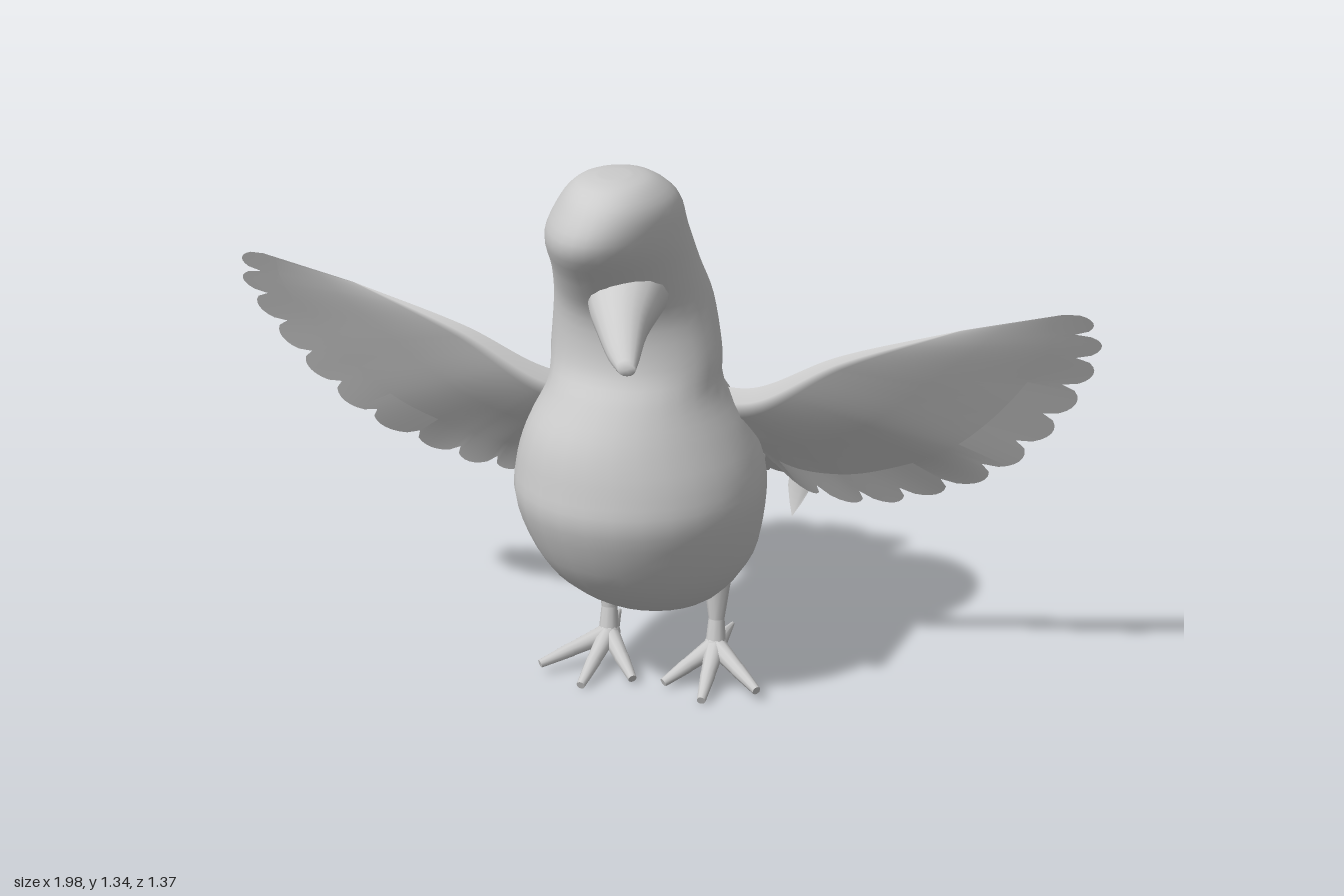
import * as THREE from 'three';

const V = (x, y, z) => new THREE.Vector3(x, y, z);
const curve = (pts) => new THREE.CatmullRomCurve3(pts.map((p) => V(...p)));

// Smooth surface through rows of points; closed joins the ends of each row
function gridGeometry(rows, closed) {
  const n = rows[0].length, pos = [], idx = [];
  rows.forEach((r) => r.forEach((p) => pos.push(p.x, p.y, p.z)));
  for (let i = 0; i < rows.length - 1; i++) {
    for (let j = 0; j < (closed ? n : n - 1); j++) {
      const a = i * n + j, b = i * n + (j + 1) % n;
      idx.push(a, a + n, b, b, a + n, b + n);
    }
  }
  const g = new THREE.BufferGeometry();
  g.setAttribute('position', new THREE.Float32BufferAttribute(pos, 3));
  g.setIndex(idx);
  g.computeVertexNormals();
  return g;
}

// Closed loft: each station is resampled smoothly, ring(values, angle) gives a point
function loft(stations, ring, steps = 40, sides = 28) {
  const sample = (t) => {
    const f = t * (stations.length - 1), i = Math.min(Math.floor(f), stations.length - 2);
    const at = (k) => stations[Math.max(0, Math.min(stations.length - 1, k))];
    return stations[i].map((_, c) => {
      const p = [at(i - 1)[c], at(i)[c], at(i + 1)[c], at(i + 2)[c]], s = f - i;
      const m0 = (p[2] - p[0]) / 2, m1 = (p[3] - p[1]) / 2;
      return p[1] + s * (m0 + s * (3 * (p[2] - p[1]) - 2 * m0 - m1 + s * (2 * (p[1] - p[2]) + m0 + m1)));
    });
  };
  const rows = [];
  for (let i = 0; i <= steps; i++) {
    const v = sample(i / steps);
    rows.push(Array.from({ length: sides }, (_, j) => ring(v, (j / sides) * Math.PI * 2)));
  }
  // Close both ends on their centres
  const centre = (r) => {
    const c = r.reduce((s, p) => s.add(p), V(0, 0, 0)).divideScalar(sides);
    return r.map(() => c);
  };
  return gridGeometry([centre(rows[0]), ...rows, centre(rows[steps])], true);
}

// One row across a feather sheet: root, smooth middle, and a tip on a rounded lobe
function featherRow(root, edge, t, lobes, size) {
  const a = root.getPoint(t), b = edge.getPoint(t);
  const out = b.clone().sub(a).normalize();
  const f = Math.sqrt(Math.abs(Math.sin(Math.PI * lobes * t)));
  return [a, a.clone().lerp(b, 0.45), a.clone().lerp(b, 0.8), b.clone().addScaledVector(out, size * (f - 0.35))];
}

export function createModel() {
  const model = new THREE.Group();
  model.name = 'bird';
  const plumage = new THREE.MeshStandardMaterial({ color: 0xcccccc });
  plumage.name = 'light grey';
  const sheet = new THREE.MeshStandardMaterial({ color: 0xcccccc, side: THREE.DoubleSide });
  sheet.name = 'light grey feather';
  const add = (parent, name, geo, mat = plumage) => {
    const m = new THREE.Mesh(geo, mat);
    m.name = name;
    parent.add(m);
    return m;
  };

  // Breast, neck and head: y, centre x, centre z, half width, half depth, skew, front taper
  const torso = [
    [0.2, 0, 0.22, 0.08, 0.08, 0, 0], [0.25, 0, 0.24, 0.18, 0.17, 0, 0], [0.35, 0.005, 0.255, 0.255, 0.27, 0, 0],
    [0.5, 0.01, 0.29, 0.3, 0.31, 0, 0], [0.6, 0.01, 0.295, 0.295, 0.305, 0, 0], [0.7, 0.01, 0.305, 0.26, 0.275, 0, 0],
    [0.8, 0.01, 0.31, 0.215, 0.22, 0.05, 0], [0.88, -0.015, 0.285, 0.225, 0.205, 0.12, 0.1],
    [1.0, -0.03, 0.285, 0.215, 0.212, 0.22, 0.2], [1.1, -0.01, 0.34, 0.2, 0.22, 0.3, 0.2],
    [1.2, 0.02, 0.405, 0.185, 0.225, 0.32, 0.15], [1.28, 0.045, 0.42, 0.155, 0.188, 0.32, 0.1],
    [1.33, 0.055, 0.435, 0.1, 0.12, 0.3, 0], [1.345, 0.06, 0.445, 0.04, 0.045, 0.3, 0],
  ];
  add(model, 'breastAndHead', loft(torso, ([y, cx, cz, rx, rz, k, taper], a) =>
    V(cx + rx * (Math.cos(a - k) - taper * Math.sin(a) * Math.cos(a)), y, cz + rz * Math.sin(a)), 52));

  // Beak, pointing to the bird's left: centre x, y, z, half width, half height
  const beak = [
    [0.075, 1.07, 0.4, 0.095, 0.09], [0.12, 1.055, 0.49, 0.085, 0.078], [0.175, 1.03, 0.57, 0.06, 0.056],
    [0.23, 0.995, 0.635, 0.038, 0.034], [0.265, 0.975, 0.67, 0.02, 0.014],
  ];
  add(model, 'beak', loft(beak, ([x, y, z, rw, rh], a) =>
    V(x + rw * Math.cos(a) * 0.86, y - rh * Math.sin(a), z - rw * Math.cos(a) * 0.5), 16, 16));

  // Everything behind the breast is turned slightly to the bird's left
  const turned = new THREE.Group();
  turned.name = 'turnedBody';
  turned.position.z = 0.2;
  turned.rotation.y = 0.35;
  model.add(turned);

  // Back and rump: z, top, bottom, half width
  const rump = [
    [0.12, 0.78, 0.25, 0.2], [0, 0.785, 0.215, 0.225], [-0.12, 0.735, 0.228, 0.185], [-0.25, 0.64, 0.255, 0.155],
    [-0.4, 0.53, 0.285, 0.135], [-0.55, 0.42, 0.325, 0.115], [-0.62, 0.372, 0.35, 0.1],
  ];
  add(turned, 'rump', loft(rump, ([z, top, bottom, r], a) =>
    V(r * Math.cos(a), (top + bottom) / 2 + ((top - bottom) / 2) * Math.sin(a), z), 24));

  // Tail fan with four lobes, flaring out of the rump
  const tailRoot = curve([[-0.125, 0.43, -0.45], [0, 0.5, -0.45], [0.125, 0.43, -0.45]]);
  const tailEdge = curve([[-0.17, 0.36, -0.62], [-0.24, 0.285, -0.76], [-0.12, 0.25, -0.82], [-0.02, 0.22, -0.87],
    [0.05, 0.215, -0.875], [0.13, 0.22, -0.87], [0.2, 0.245, -0.83], [0.29, 0.28, -0.77], [0.17, 0.36, -0.61]]);
  const tailRows = [];
  for (let i = 0; i <= 48; i++) tailRows.push(featherRow(tailRoot, tailEdge, i / 48, 4, 0.05));
  add(turned, 'tailFan', gridGeometry(tailRows), sheet);

  const limb = (parent, name, a, b, ra, rb) => {
    const d = b.clone().sub(a);
    const m = add(parent, name, new THREE.CylinderGeometry(rb, ra, d.length(), 10));
    m.position.copy(a).addScaledVector(d, 0.5);
    m.quaternion.setFromUnitVectors(V(0, 1, 0), d.normalize());
  };

  for (const [s, side, sweep] of [[1, 'left', 0], [-1, 'right', 0.075]]) {
    // Wing: upper sheet, plus a lower sheet with a thick leading edge
    const lead = curve([[0.08, 0.77, -0.02], [0.25, 0.79, 0.06], [0.46, 0.895, 0.085], [0.75, 0.98, 0.06]]);
    const trail = curve([[0.13, 0.6, -0.2], [0.32, 0.485, -0.13], [0.48, 0.465, -0.14], [0.63, 0.5, -0.145],
      [0.79, 0.58, -0.12], [0.91, 0.7, -0.09], [0.99, 0.83, -0.05], [1.03, 0.95, 0], [1.0, 1.04, 0.05]]);
    const upper = [], lower = [];
    for (let i = 0; i <= 96; i++) {
      const t = i / 96, up = featherRow(lead, trail, t, 12, 0.055 * Math.min(1, 0.2 + t * 5));
      const [a, , inner, tip] = up;
      const fold = a.clone().add(V(0.03, -0.08, 0.05).multiplyScalar(1 - t));
      const low = [a, a.clone().lerp(fold, 0.5).add(V(0, 0, 0.012 * (1 - t))), fold,
        fold.clone().lerp(inner, 0.5), inner, tip];
      const place = (p) => V(p.x * s, p.y, p.z + sweep * Math.max(0, p.x - 0.2));
      upper.push(up.map(place));
      lower.push(low.map(place));
    }
    if (s > 0) lower.forEach((r) => r.reverse());
    else upper.forEach((r) => r.reverse());
    const wing = new THREE.Group();
    wing.name = side + 'Wing';
    turned.add(wing);
    add(wing, side + 'WingUpper', gridGeometry(upper), sheet);
    add(wing, side + 'WingLower', gridGeometry(lower), sheet);

    // Flank panel beside the rump: top, middle and bottom rows
    const flank = [
      [[0.19, 0.52, -0.3], [0.155, 0.56, -0.36], [0.135, 0.555, -0.45], [0.16, 0.44, -0.57]],
      [[0.335, 0.46, -0.25], [0.315, 0.44, -0.36], [0.265, 0.43, -0.47], [0.18, 0.385, -0.6]],
      [[0.28, 0.36, -0.3], [0.24, 0.297, -0.36], [0.21, 0.3, -0.45], [0.185, 0.315, -0.53]],
    ].map((r) => r.map(([x, y, z]) => V(x * s, y, z)));
    if (s < 0) flank.forEach((r) => r.reverse());
    add(turned, side + 'Flank', gridGeometry(flank), sheet);

    // Leg, three front toes and a hind toe
    const foot = new THREE.Group();
    foot.name = side + 'Leg';
    turned.add(foot);
    const ankle = V(0.14 * s, 0.08, 0), shin = V(0.14 * s, 0.15, -0.008);
    limb(foot, side + 'Shank', ankle, shin, 0.026, 0.02);
    limb(foot, side + 'Thigh', shin, V(0.14 * s, 0.25, -0.015), 0.02, 0.034);
    const joint = add(foot, side + 'Ankle', new THREE.SphereGeometry(0.03, 12, 8));
    joint.position.copy(ankle);
    for (const [x, y, z] of [[0.04, 0.018, 0.12], [0.155, 0.012, 0.18], [0.28, 0.03, 0.125]]) {
      const tip = V(x * s, y, z), knuckle = ankle.clone().lerp(tip, 0.55);
      limb(foot, side + 'Toe', ankle, knuckle, 0.026, 0.018);
      limb(foot, side + 'ToeTip', knuckle, tip, 0.019, 0.011);
    }
    limb(foot, side + 'HindToe', ankle, V(0.15 * s, 0.088, -0.12), 0.026, 0.005);
  }
  return model;
}
